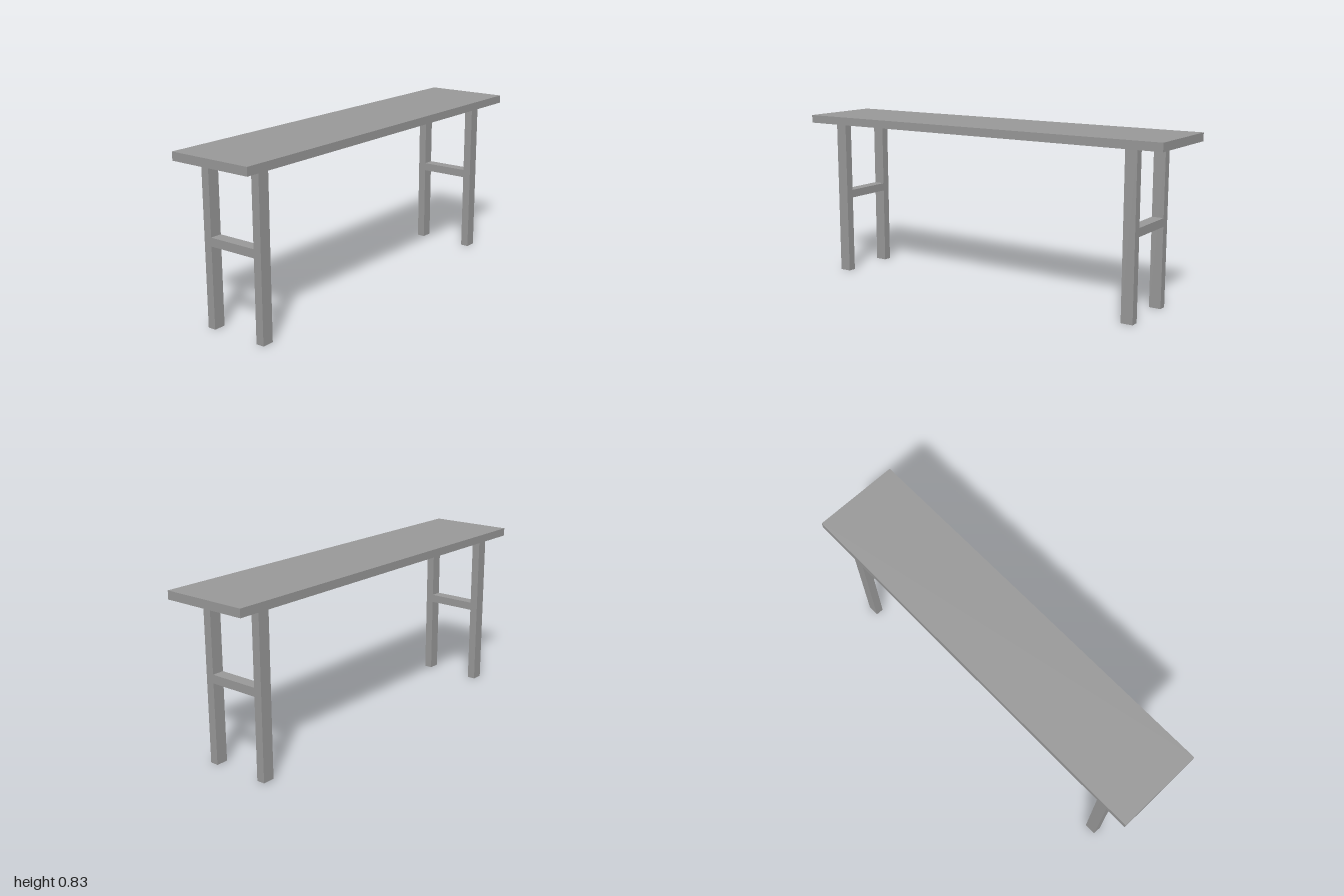
import * as THREE from 'three';

export function createModel() {
  const model = new THREE.Group();
  const grey = new THREE.MeshStandardMaterial({ color: 0x999999 });
  grey.name = 'grey';

  // Box given by its minimum and maximum corners
  const addBox = (name, parent, [x0, y0, z0], [x1, y1, z1]) => {
    const mesh = new THREE.Mesh(new THREE.BoxGeometry(x1 - x0, y1 - y0, z1 - z0), grey);
    mesh.position.set((x0 + x1) / 2, (y0 + y1) / 2, (z0 + z1) / 2);
    mesh.name = name;
    parent.add(mesh);
  };

  const underside = 0.79;
  addBox('benchTop', model, [-1, underside, -0.216], [1, 0.83, 0.216]);

  // H-shaped trestle at each end: two legs joined by a rail
  const trestles = [
    ['leftTrestle', 0.798, 0.857],
    ['rightTrestle', -0.877, -0.818],
  ];
  for (const [name, x0, x1] of trestles) {
    const trestle = new THREE.Group();
    trestle.name = name;
    addBox('frontLeg', trestle, [x0, 0, 0.119], [x1, underside, 0.16]);
    addBox('backLeg', trestle, [x0, 0, -0.174], [x1, underside, -0.133]);
    addBox('rail', trestle, [x0, 0.393, -0.133], [x1, 0.434, 0.119]);
    model.add(trestle);
  }
  return model;
}
